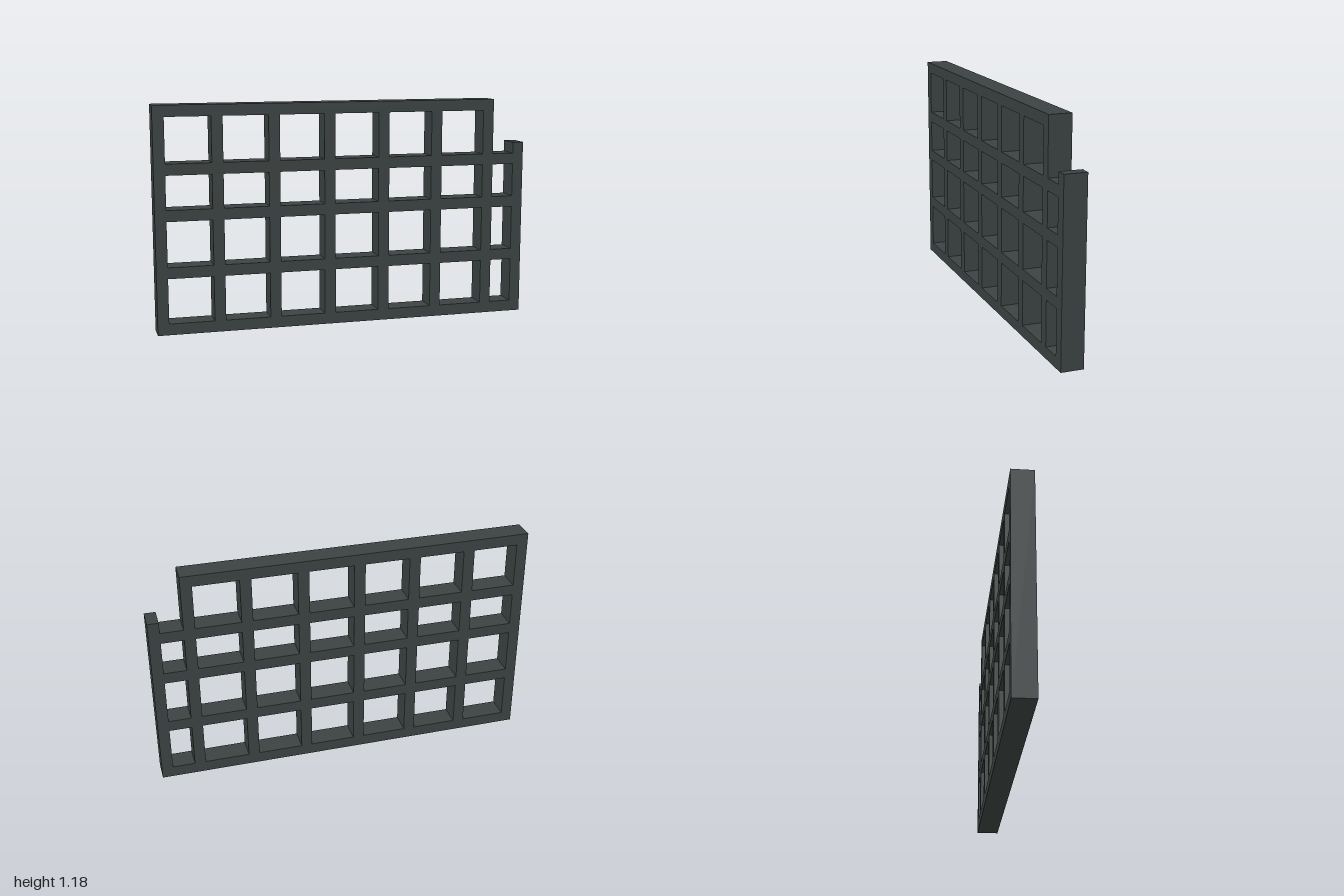
import * as THREE from 'three';

const U = 1 / 17; // bar width; the whole lattice sits on this module

export function createModel() {
  const model = new THREE.Group();
  const darkIron = new THREE.MeshStandardMaterial({ color: 0x3b4241 });
  darkIron.name = 'darkIron';

  const path = (Type, points) =>
    new Type(points.map(([x, y]) => new THREE.Vector2((x - 17) * U, y * U)));

  // Outline with the notched upper corner, in bar widths
  const outline = path(THREE.Shape, [
    [0, 0], [34, 0], [34, 16], [33, 16], [33, 15], [31, 15], [31, 20], [0, 20],
  ]);

  // Openings between the bars: start and end of each column and row
  const columns = [[1, 5], [6, 10], [11, 15], [16, 20], [21, 25], [26, 30], [31, 33]];
  const rows = [[1, 5], [6, 10], [11, 14], [15, 19]];
  for (const [x0, x1] of columns) {
    for (const [y0, y1] of rows) {
      if (x0 === 31 && y0 === 15) continue; // open notch
      outline.holes.push(path(THREE.Path, [[x0, y0], [x0, y1], [x1, y1], [x1, y0]]));
    }
  }

  const geometry = new THREE.ExtrudeGeometry(outline, { depth: 2 * U, bevelEnabled: false });
  geometry.translate(0, 0, -U);
  const lattice = new THREE.Mesh(geometry, darkIron);
  lattice.name = 'latticePanel';
  model.add(lattice);
  return model;
}
